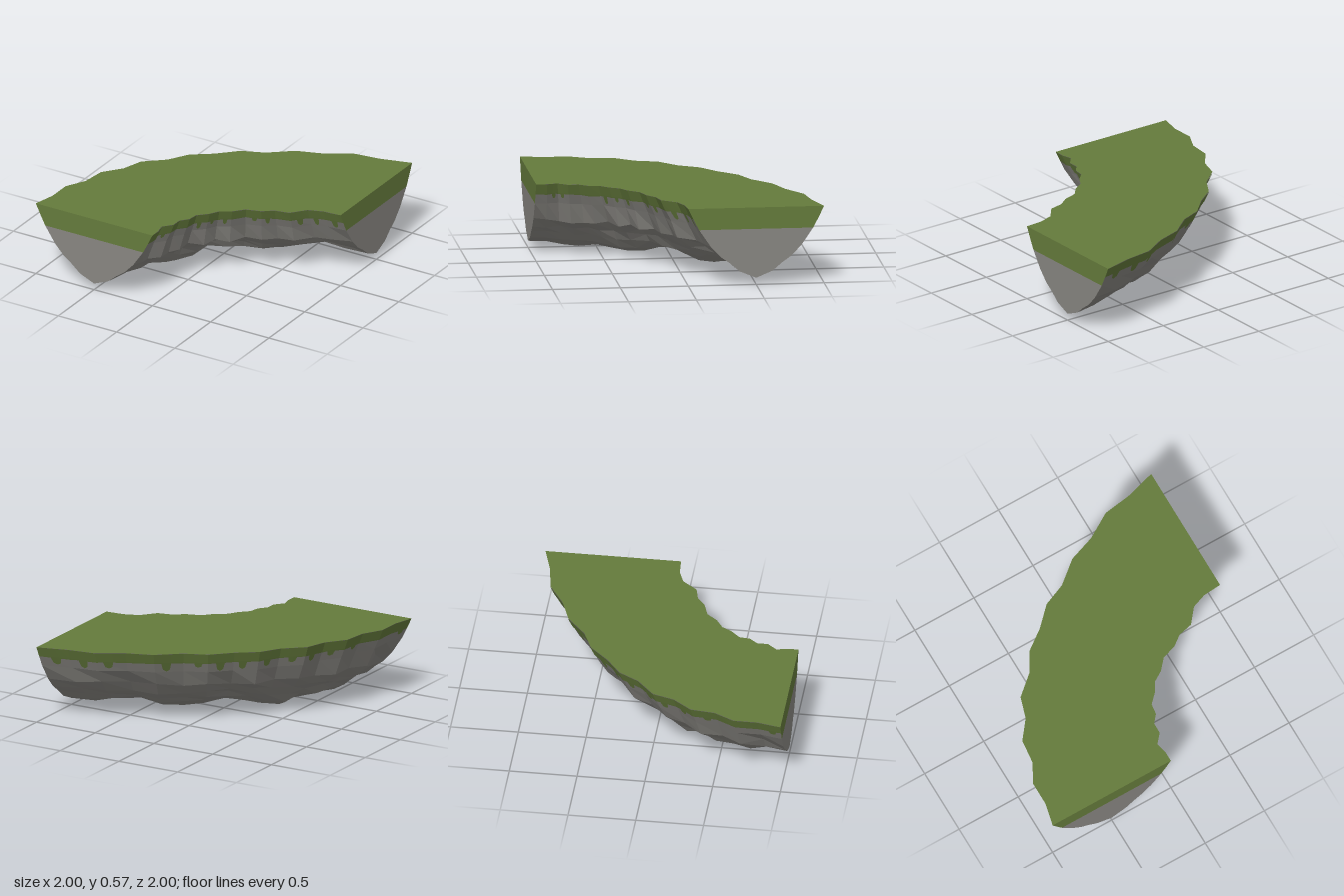
import * as THREE from 'three';

// Plan outlines [x, z] of the curved bank, from the front end to the side end
const OUTER = [[-1, 1], [-0.96, 0.83], [-0.96, 0.65], [-0.88, 0.5], [-0.86, 0.32], [-0.75, 0.18], [-0.7, 0.02],
  [-0.55, -0.11], [-0.46, -0.26], [-0.31, -0.37], [-0.17, -0.51], [0, -0.58], [0.17, -0.72], [0.37, -0.79],
  [0.56, -0.905], [0.77, -0.935], [1, -1]];
const INNER = [[0, 1], [0, 0.92], [-0.02, 0.84], [0.04, 0.77], [0.04, 0.69], [0.09, 0.63], [0.1, 0.55],
  [0.17, 0.48], [0.21, 0.41], [0.29, 0.36], [0.36, 0.28], [0.47, 0.245], [0.55, 0.185], [0.66, 0.16],
  [0.75, 0.05], [0.86, 0.01], [1, 0]];
// Height of the keel at each section
const KEEL = [0.05, 0.05, 0.02, 0.02, 0.03, 0.02, 0, 0.02, 0.06, 0.08, 0.055, 0.03, 0.04, 0.08, 0.09, 0.05, 0.05];
// Half profile [half width, height], from the rim down to the keel
const HALF = [[0.5, 0.575], [0.464, 0.5], [0.42, 0.415], [0.335, 0.29], [0.26, 0.21], [0.19, 0.16], [0.12, 0.1], [0, 0.05]];
const LAST = OUTER.length - 1;

let seed = 7;
const rand = () => (seed = (seed * 16807) % 2147483647) / 2147483647;

// Facetted surface through a grid of points
function grid(rows) {
  const pos = [];
  for (let i = 0; i < rows.length - 1; i++) {
    for (let j = 0; j < rows[i].length - 1; j++) {
      const a = rows[i][j], b = rows[i + 1][j], c = rows[i][j + 1], d = rows[i + 1][j + 1];
      for (const p of [a, b, c, c, b, d]) pos.push(p.x, p.y, p.z);
    }
  }
  const geometry = new THREE.BufferGeometry();
  geometry.setAttribute('position', new THREE.Float32BufferAttribute(pos, 3));
  geometry.computeVertexNormals();
  return geometry;
}

// Point on the section at u; w runs from -0.5 (outer rim) to 0.5 (inner rim)
function place(u, w, y) {
  const i = Math.min(Math.floor(u), LAST - 1), f = u - i;
  const at = (line, k) => THREE.MathUtils.lerp(line[i][k], line[i + 1][k], f);
  const mix = (k) => THREE.MathUtils.lerp(at(OUTER, k), at(INNER, k), w + 0.5);
  return new THREE.Vector3(mix(0), y, mix(1));
}

// Rough rock section, clean at the two cut ends
function rockSection(i) {
  const end = i === 0 || i === LAST;
  const points = [];
  for (let k = 0; k < 15; k++) {
    const inner = k > 7, row = inner ? 14 - k : k;
    let [w, y] = HALF[row];
    if (row > 2) y += (KEEL[i] - 0.05) * (row - 2) / 5;
    if (!end && row > 2 && row < 7) {
      w += (rand() - 0.5) * 0.04;
      y += (rand() - 0.5) * 0.035;
      if (inner && row === 3) { w += 0.025; y -= 0.015; } // ledge under the inner wall
      if (inner && row === 4) w -= 0.015;
    }
    points.push(place(i, inner ? w : -w, y));
  }
  return points;
}

// Grass hanging over one rim, with drips; side is -1 outer, 1 inner
function skirt(side) {
  const rows = [];
  const add = (u, drip) => {
    const proud = 0.005 * Math.min(1, u * 2, (LAST - u) * 2);
    const low = [0, 1].map((k) => THREE.MathUtils.lerp(HALF[1][k], HALF[2][k], drip));
    const column = [HALF[0], HALF[1], low].map(([w, y]) => place(u, side * (w + proud), y));
    rows.push(side < 0 ? column : column.reverse());
  };
  for (let i = 0; i < LAST; i++) {
    add(i, 0.05 + rand() * 0.1);
    const shift = rand() * 0.3, deep = 0.3 + rand() * 0.65;
    if (rand() < 0.3) continue;
    [[0.2, 0.1], [0.25, 0.8 * deep], [0.37, deep], [0.49, 0.8 * deep], [0.54, 0.08]]
      .forEach(([u, d]) => add(i + shift + u, d));
  }
  add(LAST, 0.05);
  return grid(rows);
}

// Cut end between two profile rows, as level strips
function endCap(i, from, to) {
  return grid(HALF.slice(from, to + 1).map(([w, y]) => {
    const pair = [place(i, -w, y), place(i, w, y)];
    return i === 0 ? pair : pair.reverse();
  }));
}

export function createModel() {
  const grass = new THREE.MeshStandardMaterial({ color: 0x657b3c });
  const rock = new THREE.MeshStandardMaterial({ color: 0x888681 });
  grass.name = 'grass';
  rock.name = 'rock';

  const group = new THREE.Group();
  group.name = 'curvedBank';
  const add = (name, geometry, material) => {
    const mesh = new THREE.Mesh(geometry, material);
    mesh.name = name;
    group.add(mesh);
  };

  add('rockUnderside', grid(OUTER.map((_, i) => rockSection(i))), rock);
  add('grassTop', grid(OUTER.map((_, i) => [place(i, 0.5, 0.575), place(i, -0.5, 0.575)])), grass);
  add('outerGrassEdge', skirt(-1), grass);
  add('innerGrassEdge', skirt(1), grass);
  for (const [name, i] of [['front', 0], ['side', LAST]]) {
    add(name + 'EndGrass', endCap(i, 0, 2), grass);
    add(name + 'EndRock', endCap(i, 2, 7), rock);
  }
  return group;
}
